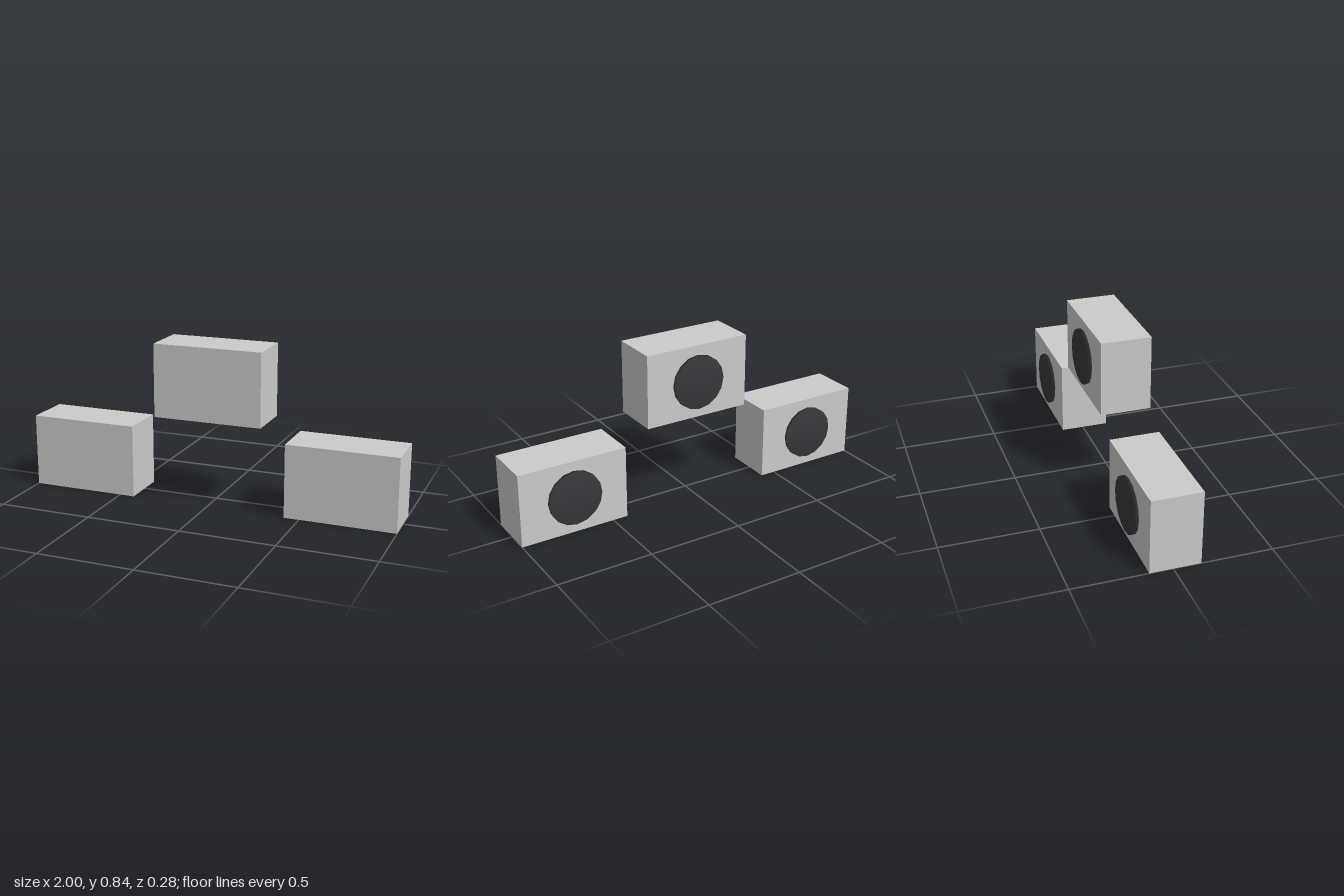
import * as THREE from 'three';
import { mergeVertices } from 'three/addons/utils/BufferGeometryUtils.js';

const WIDTH = 0.58, HEIGHT = 0.387, DEPTH = 0.257;
const BACK = -0.118, DISC_RADIUS = 0.143, DISC_DEPTH = 0.02;

// Short drum facing backwards, with normals shared across its rim
function discGeometry() {
  const geometry = new THREE.CylinderGeometry(DISC_RADIUS, DISC_RADIUS, DISC_DEPTH, 16);
  geometry.rotateX(Math.PI / 2);
  geometry.deleteAttribute('uv');
  geometry.deleteAttribute('normal');
  const merged = mergeVertices(geometry);
  merged.computeVertexNormals();
  return merged;
}

export function createModel() {
  const model = new THREE.Group();
  model.name = 'blocksWithDiscs';

  const blockMaterial = new THREE.MeshStandardMaterial({ color: 0xcccccc });
  const discMaterial = new THREE.MeshStandardMaterial({ color: 0x38383c });
  const blockShape = new THREE.BoxGeometry(WIDTH, HEIGHT, DEPTH);
  const discShape = discGeometry();

  // Two lower blocks at the sides and a raised one in the middle
  const units = [
    ['right', -0.71, 0],
    ['middle', 0, 0.454],
    ['left', 0.71, 0],
  ];
  for (const [side, x, base] of units) {
    const unit = new THREE.Group();
    unit.name = `${side}Unit`;
    unit.position.set(x, base + HEIGHT / 2, 0);

    const block = new THREE.Mesh(blockShape, blockMaterial);
    block.name = `${side}Block`;
    block.position.z = BACK + DEPTH / 2;

    // Dark disc mounted on the back face
    const disc = new THREE.Mesh(discShape, discMaterial);
    disc.name = `${side}BackDisc`;
    disc.position.z = BACK - DISC_DEPTH / 2;

    unit.add(block, disc);
    model.add(unit);
  }
  return model;
}
